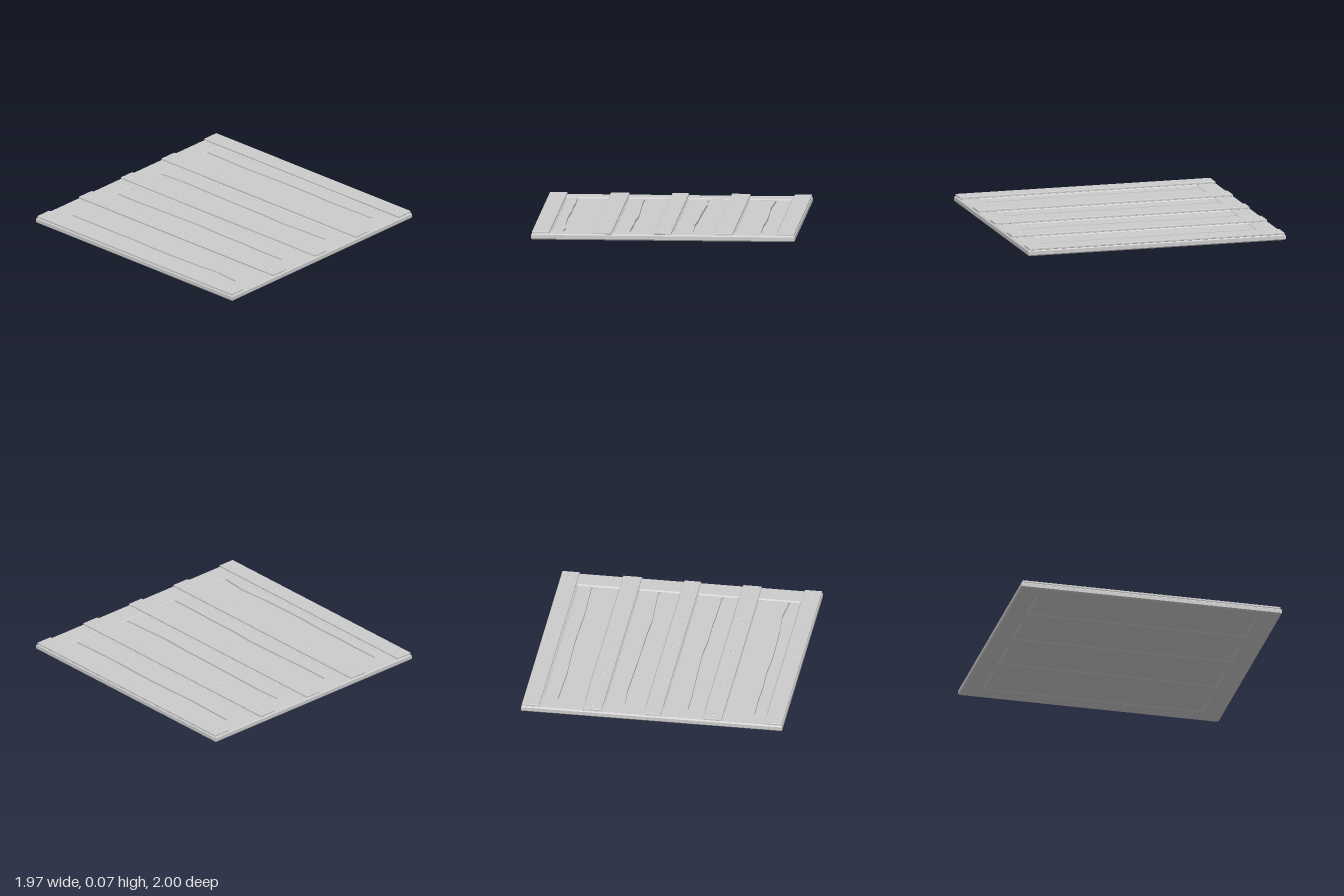
import * as THREE from 'three';

const material = new THREE.MeshStandardMaterial({ color: 0xcccccc, flatShading: true });
const roundMaterial = new THREE.MeshStandardMaterial({ color: 0xcccccc });

// Rectangle in plan; plan y is -z
function trace(path, x0, x1, z0, z1) {
  path.moveTo(x0, -z1);
  path.lineTo(x1, -z1);
  path.lineTo(x1, -z0);
  path.lineTo(x0, -z0);
  path.closePath();
  return path;
}

// Flat slab from a plan shape, between heights y0 and y1, with chamfered edges
function slab(name, shape, y0, y1, bevel) {
  const geometry = new THREE.ExtrudeGeometry(shape, {
    depth: y1 - y0 - 2 * bevel, bevelEnabled: bevel > 0, bevelThickness: bevel,
    bevelSize: bevel, bevelOffset: -bevel, bevelSegments: 1,
  });
  geometry.rotateX(-Math.PI / 2);
  geometry.translate(0, y0 + bevel, 0);
  const mesh = new THREE.Mesh(geometry, material);
  mesh.name = name;
  return mesh;
}

export function createModel() {
  const model = new THREE.Group();
  model.name = 'plankPanel';

  const zBack = -0.84, zFront = 0.83;
  const bays = [
    { x0: -0.84, x1: -0.53, crack: [-0.758, -0.755, -0.76, -0.755, -0.765, -0.763, -0.758, -0.743, -0.765] },
    { x0: -0.375, x1: -0.075, crack: [-0.255, -0.257, -0.25, -0.245, -0.24, -0.252, -0.25, -0.257, -0.257] },
    { x0: 0.07, x1: 0.37, crack: [0.218, 0.23, 0.225, 0.22, 0.217, 0.215, 0.205, 0.215, 0.222] },
    { x0: 0.53, x1: 0.835, crack: [0.727, 0.72, 0.715, 0.723, 0.727, 0.725, 0.718, 0.722, 0.727] },
  ];

  // Frame with four chamfered openings
  const frame = trace(new THREE.Shape(), -0.985, 0.985, -1, 1);
  for (const { x0, x1 } of bays) frame.holes.push(trace(new THREE.Path(), x0, x1, zBack, zFront));
  model.add(slab('frame', frame, 0, 0.045, 0.009));

  // Each bay: a backing sheet and two boards parted by a wavy crack
  for (const { x0, x1, crack } of bays) {
    const bay = new THREE.Group();
    bay.name = 'insetPanel';
    bay.add(slab('backing', trace(new THREE.Shape(), x0, x1, zBack, zFront), 0.005, 0.015, 0));
    for (const side of [-1, 1]) {
      const edge = crack.map((x, i) => new THREE.Vector2(
        x + side * 0.008, -THREE.MathUtils.lerp(zBack, zFront, i / (crack.length - 1))));
      const outer = side < 0 ? x0 : x1;
      const board = new THREE.Shape([
        new THREE.Vector2(outer, -zBack), ...edge, new THREE.Vector2(outer, -zFront),
      ]);
      bay.add(slab('board', board, 0.015, 0.035, 0));
    }
    model.add(bay);
  }

  // Raised straps along the panel
  const straps = [[-0.98, -0.85], [-0.525, -0.385], [-0.065, 0.06], [0.38, 0.52], [0.85, 0.98]];
  for (const [x0, x1] of straps) {
    model.add(slab('strap', trace(new THREE.Shape(), x0, x1, -0.99, 0.99), 0.043, 0.06, 0.003));
  }

  // Domed rivets, five on each strap
  const dome = new THREE.SphereGeometry(0.019, 16, 5, 0, Math.PI * 2, 0, Math.PI / 2);
  dome.scale(1, 0.45, 1);
  const rivets = new THREE.Group();
  rivets.name = 'rivets';
  for (const x of [-0.92, -0.46, -0.008, 0.45, 0.915]) {
    for (const z of [-0.93, -0.44, 0.01, 0.435, 0.91]) {
      const rivet = new THREE.Mesh(dome, roundMaterial);
      rivet.name = 'rivet';
      rivet.position.set(x, 0.059, z);
      rivets.add(rivet);
    }
  }
  model.add(rivets);
  return model;
}
